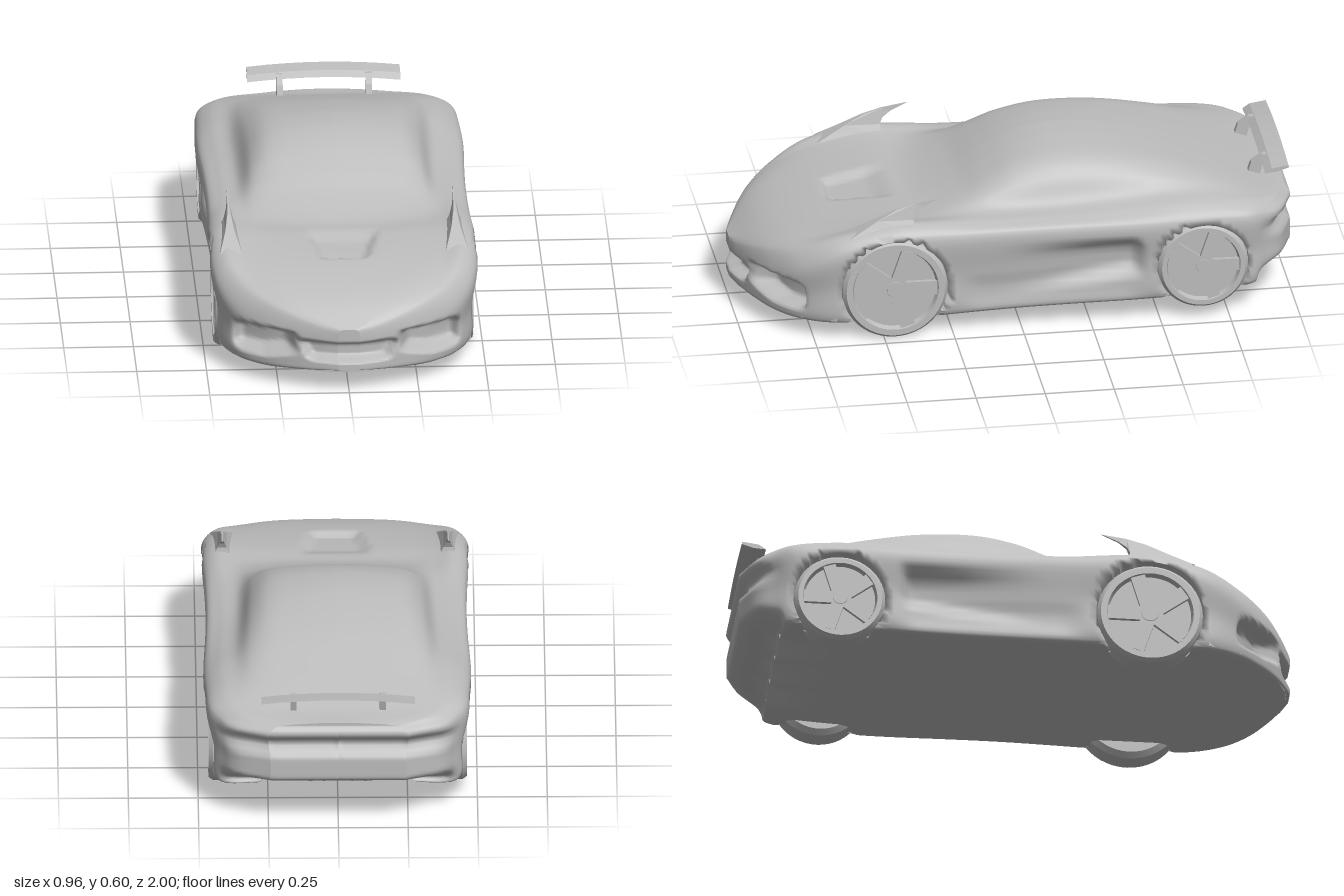
import * as THREE from 'three';
import { toCreasedNormals } from 'three/addons/utils/BufferGeometryUtils.js';

const paint = new THREE.MeshStandardMaterial({ color: 0xbcbcbc });
paint.name = 'plain grey';

// Profiles along the length: [z, value], front to back
const halfWidth = [[1, 0.04], [0.985, 0.092], [0.94, 0.207], [0.885, 0.307], [0.8, 0.405], [0.68, 0.465], [0.5, 0.476],
  [0.2, 0.466], [0, 0.463], [-0.2, 0.466], [-0.5, 0.476], [-0.7, 0.47], [-0.82, 0.46], [-0.88, 0.43], [-0.95, 0.37], [-1, 0.25]];
const bottom = [[1, 0.088], [0.96, 0.08], [0.85, 0.066], [0.4, 0.066], [0, 0.075], [-0.5, 0.085], [-0.8, 0.105], [-0.9, 0.125], [-1, 0.17]];
const shoulder = [[1, 0.205], [0.9, 0.225], [0.8, 0.265], [0.65, 0.345], [0.46, 0.39], [0.2, 0.39], [-0.4, 0.39], [-0.8, 0.39], [-1, 0.365]];
const fender = [[1, 0.228], [0.9, 0.285], [0.8, 0.328], [0.65, 0.392], [0.46, 0.428], [0.33, 0.428], [0.15, 0.417], [-0.15, 0.416],
  [-0.4, 0.425], [-0.58, 0.436], [-0.75, 0.432], [-0.9, 0.412], [-1, 0.393]];
const belt = [[1, 0.236], [0.9, 0.3], [0.8, 0.342], [0.65, 0.387], [0.46, 0.418], [0.3, 0.42], [0.15, 0.428], [-0.1, 0.435],
  [-0.4, 0.452], [-0.58, 0.46], [-0.75, 0.449], [-0.9, 0.42], [-1, 0.4]];
const roofEdge = [[1, 0.24], [0.9, 0.308], [0.8, 0.35], [0.65, 0.385], [0.46, 0.41], [0.33, 0.413], [0.2, 0.45], [0.1, 0.497], [0, 0.54],
  [-0.15, 0.568], [-0.35, 0.562], [-0.55, 0.525], [-0.75, 0.467], [-0.9, 0.422], [-1, 0.405]];
const crown = [[1, 0.24], [0.9, 0.312], [0.8, 0.352], [0.65, 0.385], [0.46, 0.405], [0.35, 0.408], [0.2, 0.46], [0.1, 0.517], [0, 0.565],
  [-0.1, 0.593], [-0.2, 0.6], [-0.3, 0.594], [-0.5, 0.554], [-0.7, 0.49], [-0.9, 0.424], [-1, 0.41]];
const wheels = [{ name: 'front', z: 0.46, y: 0.19, r: 0.19 }, { name: 'rear', z: -0.655, y: 0.206, r: 0.163 }];

// Smooth value of a profile at z
function at(table, z) {
  let i = 0;
  while (i < table.length - 2 && z < table[i + 1][0]) i++;
  const slope = (k) => {
    const a = table[Math.max(k - 1, 0)], b = table[Math.min(k + 1, table.length - 1)];
    return (b[1] - a[1]) / (b[0] - a[0]);
  };
  const [z0, v0] = table[i], [z1, v1] = table[i + 1], h = z1 - z0, t = (z - z0) / h;
  const t2 = t * t, t3 = t2 * t;
  return v0 * (2 * t3 - 3 * t2 + 1) + slope(i) * h * (t3 - 2 * t2 + t) + v1 * (3 * t2 - 2 * t3) + slope(i + 1) * h * (t3 - t2);
}

const step = (v, a, b) => {
  const t = Math.min(Math.max((v - a) / (b - a), 0), 1);
  return t * t * (3 - 2 * t);
};
const band = (v, a, b, soft) => step(v, a - soft, a + soft) * (1 - step(v, b - soft, b + soft));

// Half cross-section, from bottom centre around the side to top centre
function halfSection(z) {
  const w = at(halfWidth, z), y0 = at(bottom, z), s = at(shoulder, z), r = at(roofEdge, z), t = at(crown, z), b = at(belt, z);
  const pts = [[0, y0], [0.5 * w, y0], [0.93 * w, y0], [0.965 * w, y0 + 0.025], [0.972 * w, y0 * 0.5 + s * 0.5], [w, s],
    [0.9 * w, at(fender, z)], [0.76 * w, b], [0.65 * w, b * 0.35 + r * 0.65], [0.53 * w, r], [0.27 * w, r * 0.25 + t * 0.75], [0, t]];
  return new THREE.CatmullRomCurve3(pts.map(([x, y]) => new THREE.Vector3(x, y, z))).getPoints(77);
}

// Sculpting rules: intakes, wheel arches, side scoops, bonnet vent, tail
function sculpt(p) {
  let { x, y, z } = p;
  if (p.z > 0.72) {
    const side = band(p.x, 0.2, 0.39, 0.025) * band(p.y, 0.115 + 0.25 * Math.max(0, 0.3 - p.x), 0.205, 0.015);
    const mouth = (1 - step(p.x, 0.05 + 0.55 * p.y, 0.09 + 0.55 * p.y)) * band(p.y, 0.12, 0.18, 0.012);
    z -= 0.08 * side + 0.05 * mouth;
  }
  // side scoop, deepest towards the back, and a hollow along the sill
  if (p.x > 0.4) {
    const scoop = step(p.z, -0.45, -0.4) * (1 - step(p.z, -0.4, 0.12));
    x -= 0.045 * scoop * band(p.y, 0.2 - 0.12 * (p.z + 0.4), 0.315, 0.025);
    x -= 0.012 * band(p.z, -0.42, 0.2, 0.06) * band(p.y, 0.11, 0.2, 0.03);
  }
  // wheel arches: points near the rim snap onto a clean circle
  for (const w of wheels) {
    const dz = p.z - w.z, dy = p.y - w.y, d = Math.hypot(dz, dy), r = w.r + 0.004;
    if (p.x < 0.4 || d > r + 0.014) continue;
    if (d < r) x = 0.4;
    if (d > r - 0.014) {
      z = w.z + (dz * r) / d;
      y = w.y + (dy * r) / d;
    }
  }
  // bonnet vent
  const spread = 0.06 + 0.2 * (0.66 - p.z);
  if (p.y > 0.3) y -= 0.022 * (1 - step(p.x, spread, spread + 0.03)) * step(p.z, 0.4, 0.5) * (1 - step(p.z, 0.63, 0.655));
  // tail light channel, undercut and diffuser tunnels
  const back = step(-p.z, 0.84, 0.98);
  z += back * (0.035 * band(p.y, 0.295, 0.345, 0.02) + 0.12 * (1 - step(p.y, 0.12, 0.2)) + 0.015 * step(p.y, 0.375, 0.4));
  const tunnel = 1 - step(p.x, 0.04, 0.08) + band(p.x, 0.14, 0.25, 0.025);
  if (p.y < 0.18) y += 0.05 * tunnel * step(-p.z, 0.6, 0.85) * (1 - step(-p.z, 0.93, 1));
  return [x, y, z];
}

function bodyGeometry() {
  const rings = [], n = 170;
  for (let i = 0; i <= n; i++) rings.push(halfSection(Math.cos((Math.PI * i) / n)));
  // close nose and tail with shrinking rings
  const shrink = (ring, k) => ring.map((p) => new THREE.Vector3(p.x * k, p.y, p.z));
  const nose = rings[0], tail = rings[n];
  for (let k = 9; k >= 0; k--) rings.push(shrink(tail, k / 10));
  for (let k = 2; k >= 0; k--) rings.unshift(shrink(nose, k / 3));
  const pos = [], index = [], half = nose.length, count = 2 * half - 2;
  for (const ring of rings) {
    const shaped = ring.map(sculpt);
    shaped.forEach((p) => pos.push(...p));
    for (let j = half - 2; j > 0; j--) pos.push(-shaped[j][0], shaped[j][1], shaped[j][2]);
  }
  for (let i = 0; i < rings.length - 1; i++) {
    for (let j = 0; j < count; j++) {
      const a = i * count + j, b = i * count + ((j + 1) % count), c = a + count, d = b + count;
      index.push(a, c, b, b, c, d);
    }
  }
  const g = new THREE.BufferGeometry();
  g.setAttribute('position', new THREE.Float32BufferAttribute(pos, 3));
  g.setIndex(index);
  g.computeVertexNormals();
  return g;
}

function add(parent, geometry, name, x = 0, y = 0, z = 0) {
  const mesh = new THREE.Mesh(geometry, paint);
  mesh.name = name;
  mesh.position.set(x, y, z);
  parent.add(mesh);
  return mesh;
}

// Side outline of [z, y] points extruded across x, centred on x = 0
function sidePlate(points, width) {
  const shape = new THREE.Shape(points.map(([z, y]) => new THREE.Vector2(-z, y)));
  const g = new THREE.ExtrudeGeometry(shape, { depth: width, bevelEnabled: false, steps: 8 });
  return g.translate(0, 0, -width / 2).rotateY(Math.PI / 2);
}

function makeWheel(name, r) {
  const wheel = new THREE.Group();
  wheel.name = name;
  const profile = [[0, -0.11], [r - 0.02, -0.11], [r, -0.095], [r, -0.016], [r - 0.012, 0], [r * 0.82, 0], [r * 0.78, -0.02], [0, -0.02]];
  const tyre = new THREE.LatheGeometry(profile.map(([a, b]) => new THREE.Vector2(a, b)), 48);
  add(wheel, toCreasedNormals(tyre, 0.6), 'tyre');
  add(wheel, new THREE.CylinderGeometry(r * 0.16, r * 0.2, 0.018, 20), 'hub', 0, -0.012, 0);
  for (let i = 0; i < 5; i++) {
    const spoke = new THREE.BoxGeometry(r * 0.74, 0.016, r * 0.28).translate(r * 0.43, -0.013, 0);
    add(wheel, spoke, 'spoke').rotation.y = (i * Math.PI * 2) / 5 + 0.3;
  }
  return wheel;
}

export function createModel() {
  const car = new THREE.Group();
  car.name = 'sports car';
  add(car, bodyGeometry(), 'body');

  // Front splitter follows the nose outline
  const edge = halfWidth.slice(1, 6).map(([z, w]) => [w * 0.97, z - 0.008]);
  const lip = [...edge.slice().reverse(), [0, 0.99], ...edge.map(([x, z]) => [-x, z])];
  const lipShape = new THREE.Shape(lip.map(([x, z]) => new THREE.Vector2(x, -z)));
  const lipGeo = new THREE.ExtrudeGeometry(lipShape, { depth: 0.018, bevelEnabled: false }).rotateX(-Math.PI / 2);
  add(car, lipGeo, 'front splitter', 0, 0.074, 0);

  for (const side of [1, -1]) {
    const label = side > 0 ? 'left' : 'right';
    for (const w of wheels) {
      const wheel = makeWheel(`${label} ${w.name} wheel`, w.r);
      wheel.position.set(side * 0.463, w.y, w.z);
      wheel.rotation.z = (-side * Math.PI) / 2;
      car.add(wheel);
    }
    // Swept fender fin, flaring at the base and thin at the tip
    const fin = sidePlate([[0.62, 0.395], [0.56, 0.426], [0.52, 0.447], [0.45, 0.482], [0.38, 0.503], [0.29, 0.517],
      [0.35, 0.49], [0.38, 0.467], [0.39, 0.445], [0.385, 0.41]], 0.08);
    const p = fin.attributes.position;
    for (let i = 0; i < p.count; i++) {
      const t = Math.min(Math.max((p.getY(i) - 0.4) / 0.117, 0), 1);
      p.setX(i, p.getX(i) * (0.06 + 0.94 * (1 - t) ** 2));
    }
    fin.computeVertexNormals();
    add(car, fin, `${label} fender fin`, side * 0.405, 0, 0);
    const strut = sidePlate([[-0.855, 0.42], [-0.87, 0.468], [-0.91, 0.495], [-0.95, 0.495], [-0.915, 0.47], [-0.9, 0.41]], 0.022);
    add(car, strut, `${label} wing strut`, side * 0.16, 0, 0);
    add(car, new THREE.TorusGeometry(0.026, 0.009, 8, 20), `${label} exhaust`, side * 0.05, 0.2, -0.955);
  }

  // Rear wing, drooping slightly at the ends
  const wing = sidePlate([[-0.905, 0.484], [-0.93, 0.502], [-0.99, 0.511], [-0.992, 0.502], [-0.95, 0.488]], 0.55);
  const wp = wing.attributes.position;
  for (let i = 0; i < wp.count; i++) wp.setY(i, wp.getY(i) - 0.2 * wp.getX(i) ** 2);
  wing.computeVertexNormals();
  add(car, wing, 'rear wing');
  return car;
}
